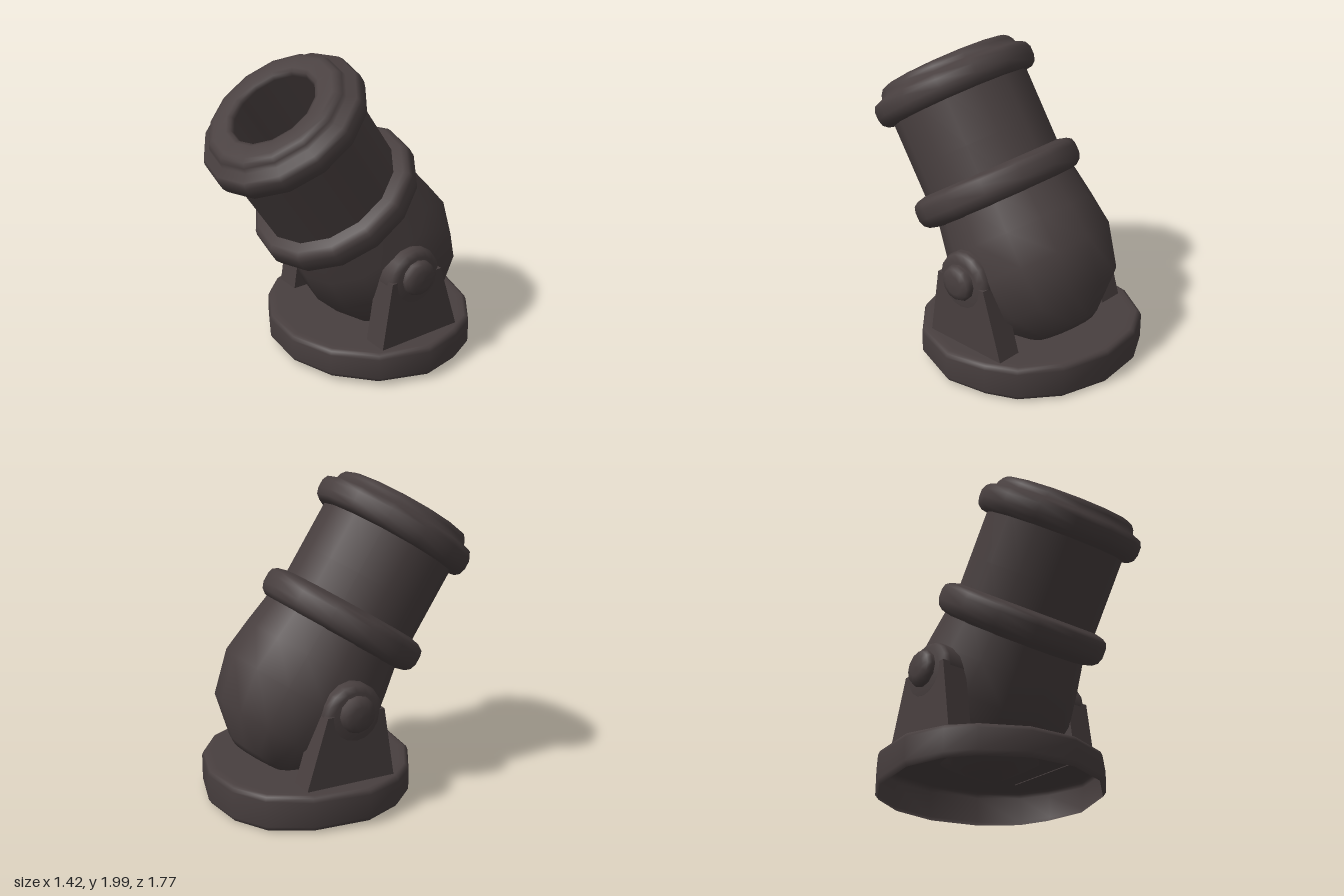
import * as THREE from 'three';

const iron = new THREE.MeshStandardMaterial({ color: 0x483f3f });
iron.name = 'darkIron';
const ironShell = new THREE.MeshStandardMaterial({ color: 0x483f3f, side: THREE.DoubleSide });
ironShell.name = 'darkIronShell';

function part(name, geometry, material = iron) {
  const mesh = new THREE.Mesh(geometry, material);
  mesh.name = name;
  return mesh;
}

const lathe = (points, sides) =>
  new THREE.LatheGeometry(points.map(([r, y]) => new THREE.Vector2(r, y)), sides);

// Hollow round base: one irregular outline swept through rim levels, open below
function baseGeometry() {
  const outline = [
    [0.71, -0.12], [0.67, -0.39], [0.59, -0.58], [0.38, -0.77], [0.07, -0.885],
    [-0.23, -0.88], [-0.46, -0.78], [-0.63, -0.55], [-0.71, -0.2], [-0.64, 0.05],
    [-0.52, 0.21], [-0.26, 0.39], [0.04, 0.45], [0.34, 0.38], [0.58, 0.19],
  ];
  const levels = [[0.97, 0], [1, 0.03], [1, 0.195], [0.985, 0.22], [0.955, 0.23], [0.9, 0.23], [0, 0.23]];
  const n = outline.length, cz = -0.2, pos = [], idx = [];
  levels.forEach(([k, h], j) => {
    for (const [x, z] of outline) {
      // the lower rim dips slightly towards the back
      const y = j < 2 ? h + 0.027 + 0.03 * z : h;
      pos.push(x * k, y, cz + (z - cz) * k);
    }
  });
  for (let j = 0; j < levels.length - 1; j++) {
    for (let i = 0; i < n; i++) {
      const a = j * n + i, b = j * n + (i + 1) % n;
      idx.push(a, b, b + n);
      if (j < levels.length - 2) idx.push(a, b + n, a + n);
    }
  }
  const g = new THREE.BufferGeometry();
  g.setAttribute('position', new THREE.Float32BufferAttribute(pos, 3));
  g.setIndex(idx);
  g.computeVertexNormals();
  return g;
}

// Tapering upright, wider at the foot
function uprightGeometry() {
  const g = new THREE.BoxGeometry(0.165, 0.445, 1);
  const p = g.attributes.position;
  for (let i = 0; i < p.count; i++) {
    const top = p.getY(i) > 0;
    p.setZ(i, p.getZ(i) * (top ? 0.38 : 0.59) + (top ? 0.02 : -0.015));
  }
  g.translate(0, 0.4475, 0);
  g.computeVertexNormals();
  return g;
}

export function createModel() {
  const model = new THREE.Group();
  model.name = 'mortar';
  model.add(part('base', baseGeometry(), ironShell));

  // Barrel and its mounts are turned a little on the base
  const gun = new THREE.Group();
  gun.name = 'gun';
  gun.position.z = -0.19;
  gun.rotation.y = -0.08;
  model.add(gun);

  const barrel = new THREE.Group();
  barrel.name = 'barrel';
  barrel.position.set(0.01, 1.555, 0.555);
  barrel.rotation.x = THREE.MathUtils.degToRad(33);
  gun.add(barrel);

  // Rounded breech up to the middle ring, set slightly back from the tube
  const breech = part('breech', lathe([
    [0, -1.59], [0.2, -1.585], [0.25, -1.555], [0.455, -1.37], [0.525, -1.09], [0.495, -0.87], [0.455, -0.63],
  ], 14));
  breech.position.z = -0.03;
  barrel.add(breech);
  barrel.add(part('tube', lathe([[0.452, -0.66], [0.452, -0.3], [0.452, 0.06]], 14)));
  barrel.add(part('middleRing', lathe([
    [0.43, -0.695], [0.505, -0.675], [0.535, -0.65], [0.55, -0.61], [0.55, -0.55],
    [0.54, -0.515], [0.51, -0.495], [0.43, -0.475],
  ], 14)));
  // Muzzle ring, lip and bore
  barrel.add(part('muzzle', lathe([
    [0.43, 0.0], [0.49, 0.005], [0.52, 0.03], [0.532, 0.07], [0.532, 0.125], [0.515, 0.16],
    [0.46, 0.18], [0.45, 0.21], [0.43, 0.238], [0.4, 0.247], [0.31, 0.247], [0.285, 0.238],
    [0.275, 0.21], [0.275, -0.58], [0.265, -0.6], [0, -0.6],
  ], 14)));

  // Mounts on both sides
  for (const side of [1, -1]) {
    const name = side > 0 ? 'left' : 'right';
    const upright = part(name + 'Upright', uprightGeometry());
    upright.position.x = side * 0.49;
    gun.add(upright);

    const trunnion = part(name + 'Trunnion', lathe([
      [0.195, 0.3], [0.195, 0.52], [0.185, 0.55], [0.15, 0.575], [0, 0.578],
    ], 16));
    const cap = part(name + 'TrunnionCap', lathe([
      [0.115, 0.54], [0.115, 0.595], [0.1, 0.62], [0.06, 0.635], [0, 0.637],
    ], 12));
    for (const m of [trunnion, cap]) {
      m.rotation.z = -side * Math.PI / 2;
      m.position.set(0, m === cap ? 0.667 : 0.65, 0.02);
      gun.add(m);
    }
  }
  return model;
}
